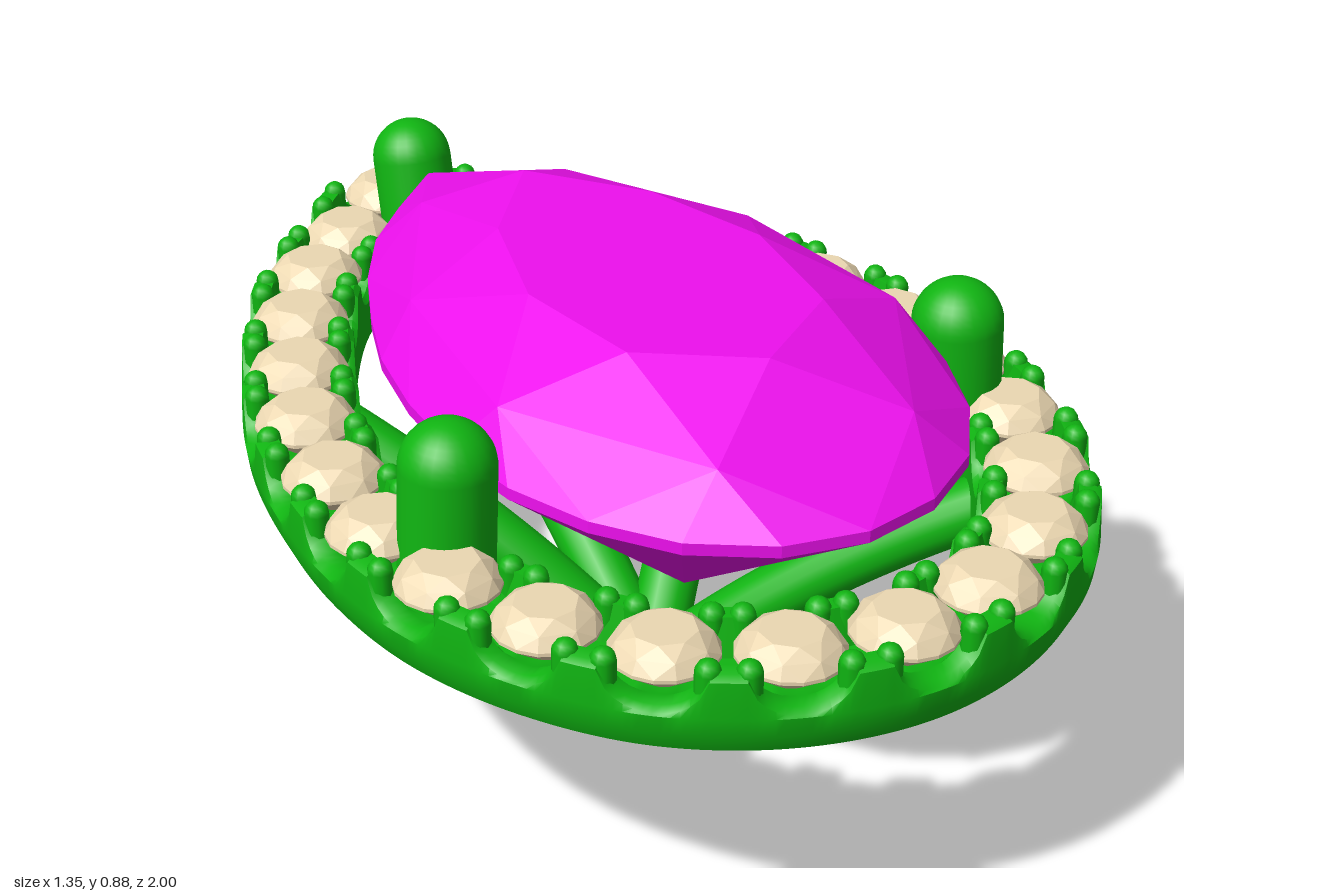
import * as THREE from 'three';
import { toCreasedNormals } from 'three/addons/utils/BufferGeometryUtils.js';
import { ConvexGeometry } from 'three/addons/geometries/ConvexGeometry.js';

const metal = new THREE.MeshStandardMaterial({ color: 0x10b512 });
const purple = new THREE.MeshStandardMaterial({ color: 0xee10ee });
const cream = new THREE.MeshStandardMaterial({ color: 0xecd8b2 });

// Pear-shaped centre line of the halo: one point per small stone, mirrored in x
const COUNT = 24;
const half = [[0, -0.905], [0.153, -0.77], [0.28, -0.645], [0.382, -0.487], [0.462, -0.315],
  [0.527, -0.14], [0.562, 0.05], [0.57, 0.24], [0.542, 0.43], [0.465, 0.607],
  [0.345, 0.757], [0.182, 0.855], [0, 0.89]];
const loop = [...half, ...half.slice(1, -1).reverse().map(([x, z]) => [-x, z])];
const pear = new THREE.CatmullRomCurve3(loop.map(([x, z]) => new THREE.Vector3(x, 0, z)), true);

// Point beside the centre line; t counts stones, offset is positive outwards
function pearPoint(t, offset = 0, y = 0) {
  const u = (((t % COUNT) + COUNT) % COUNT) / COUNT;
  const p = pear.getPoint(u), d = pear.getTangent(u);
  let x = p.x + d.z * offset;
  if (x * p.x < 0) x = 0; // keep the inner edge from crossing at the tip
  return new THREE.Vector3(x, y, p.z - d.x * offset);
}

function add(parent, name, geometry, material) {
  const mesh = new THREE.Mesh(geometry, material);
  mesh.name = name;
  parent.add(mesh);
  return mesh;
}

// Halo rim: a swept section whose upper edges dip beside every stone
function haloGeometry() {
  const steps = COUNT * 16, pos = [], index = [];
  let n = 0;
  for (let i = 0; i < steps; i++) {
    const t = i / 16, f = t - Math.round(t);
    const top = 0.622 - 0.062 * Math.sqrt(Math.max(0, 1 - (f / 0.36) ** 2));
    const section = [[0.055, 0.47], [0.085, 0.482], [0.1, 0.515], [0.104, 0.55], [0.1, top - 0.008],
      [0.088, top], [0.062, top], [0.05, 0.555], [-0.05, 0.555], [-0.062, top],
      [-0.09, top], [-0.1, top - 0.01], [-0.1, 0.48], [-0.09, 0.47]];
    n = section.length;
    for (const [o, y] of section) pos.push(...pearPoint(t, o, y).toArray());
    const next = (i + 1) % steps;
    for (let j = 0; j < n; j++) {
      const k = (j + 1) % n;
      const a = i * n + j, b = i * n + k, c = next * n + j, d = next * n + k;
      index.push(a, b, c, b, d, c);
    }
  }
  const g = new THREE.BufferGeometry();
  g.setAttribute('position', new THREE.Float32BufferAttribute(pos, 3));
  g.setIndex(index);
  return toCreasedNormals(g, 0.7);
}

// Small round faceted stone, girdle at y = 0
function smallStoneGeometry() {
  const pts = [new THREE.Vector3(0, -0.075, 0)];
  const ring = (r, y, n, turn) => {
    for (let i = 0; i < n; i++) {
      const a = (i + turn) / n * Math.PI * 2;
      pts.push(new THREE.Vector3(r * Math.cos(a), y, r * Math.sin(a)));
    }
  };
  ring(0.052, 0.038, 8, 0);
  ring(0.076, 0.021, 8, 0.5);
  ring(0.088, 0, 16, 0);
  ring(0.088, -0.006, 16, 0);
  return new ConvexGeometry(pts);
}

// Large pear stone: convex hull of scaled pear outlines and the bottom point
function centreStoneGeometry() {
  const pts = [new THREE.Vector3(0, 0.32, 0.25)];
  const ring = (sx, sz, dz, y, n, turn) => {
    for (let i = 0; i < n; i++) {
      const p = pearPoint((i + turn) * COUNT / n);
      pts.push(new THREE.Vector3(p.x * sx, y, p.z * sz + dz));
    }
  };
  ring(0.4, 0.457, 0.09, 0.88, 8, 0);
  ring(0.68, 0.71, 0.06, 0.802, 8, 0.5);
  ring(0.775, 0.841, 0.04, 0.718, 24, 0);
  ring(0.775, 0.841, 0.04, 0.697, 24, 0);
  return new ConvexGeometry(pts);
}

// Round-ended rod between two points
function rod(parent, name, from, to, radius) {
  const a = new THREE.Vector3(...from), b = new THREE.Vector3(...to);
  const axis = b.clone().sub(a);
  const mesh = add(parent, name, new THREE.CapsuleGeometry(radius, axis.length(), 10, 24), metal);
  mesh.position.copy(a).add(b).multiplyScalar(0.5);
  mesh.quaternion.setFromUnitVectors(new THREE.Vector3(0, 1, 0), axis.normalize());
}

export function createModel() {
  const model = new THREE.Group();
  model.name = 'pearHaloSetting';

  add(model, 'haloRim', haloGeometry(), metal);
  add(model, 'centreStone', centreStoneGeometry(), purple);

  // Small stones and the beads that grip them
  const stones = new THREE.Group(), beads = new THREE.Group();
  stones.name = 'haloStones';
  beads.name = 'haloBeads';
  model.add(stones, beads);
  const stoneGeo = smallStoneGeometry();
  const beadGeo = new THREE.CapsuleGeometry(0.021, 0.06, 4, 10);
  for (let i = 0; i < COUNT; i++) {
    const stone = add(stones, 'haloStone', stoneGeo, cream);
    stone.position.copy(pearPoint(i, 0, 0.602));
    const d = pear.getTangent(i / COUNT);
    stone.rotation.y = Math.atan2(d.x, d.z);
    for (const shift of [0.36, 0.64]) for (const offset of [-0.074, 0.076]) {
      add(beads, 'bead', beadGeo, metal).position.copy(pearPoint(i + shift, offset, 0.588));
    }
  }

  // Claws holding the centre stone
  for (const s of [-1, 1]) rod(model, 'sideClaw', [s * 0.498, 0.56, 0.335], [s * 0.49, 0.745, 0.335], 0.08);
  rod(model, 'tipClaw', [0, 0.56, -0.755], [0, 0.725, -0.793], 0.076);

  // Curved struts rising from the foot to the rim
  const strut = (x, z, ctrlY) => {
    const curve = new THREE.QuadraticBezierCurve3(
      new THREE.Vector3(0, 0.06, 0.135),
      new THREE.Vector3(x * 0.44, ctrlY, 0.135 + (z - 0.135) * 0.42),
      new THREE.Vector3(x, 0.51, z));
    add(model, 'strut', new THREE.TubeGeometry(curve, 28, 0.055, 18), metal);
  };
  for (const s of [-1, 1]) {
    strut(s * 0.47, 0.54, 0.33);
    strut(s * 0.44, -0.31, 0.33);
  }
  strut(0, -0.87, 0.39);

  // Rounded foot
  const profile = [[0, 0], [0.05, 0], [0.066, 0.01], [0.075, 0.035], [0.07, 0.08], [0.045, 0.13], [0, 0.155]]
    .map(([r, y]) => new THREE.Vector2(r, y));
  add(model, 'foot', new THREE.LatheGeometry(profile, 28), metal).position.z = 0.135;

  return model;
}
